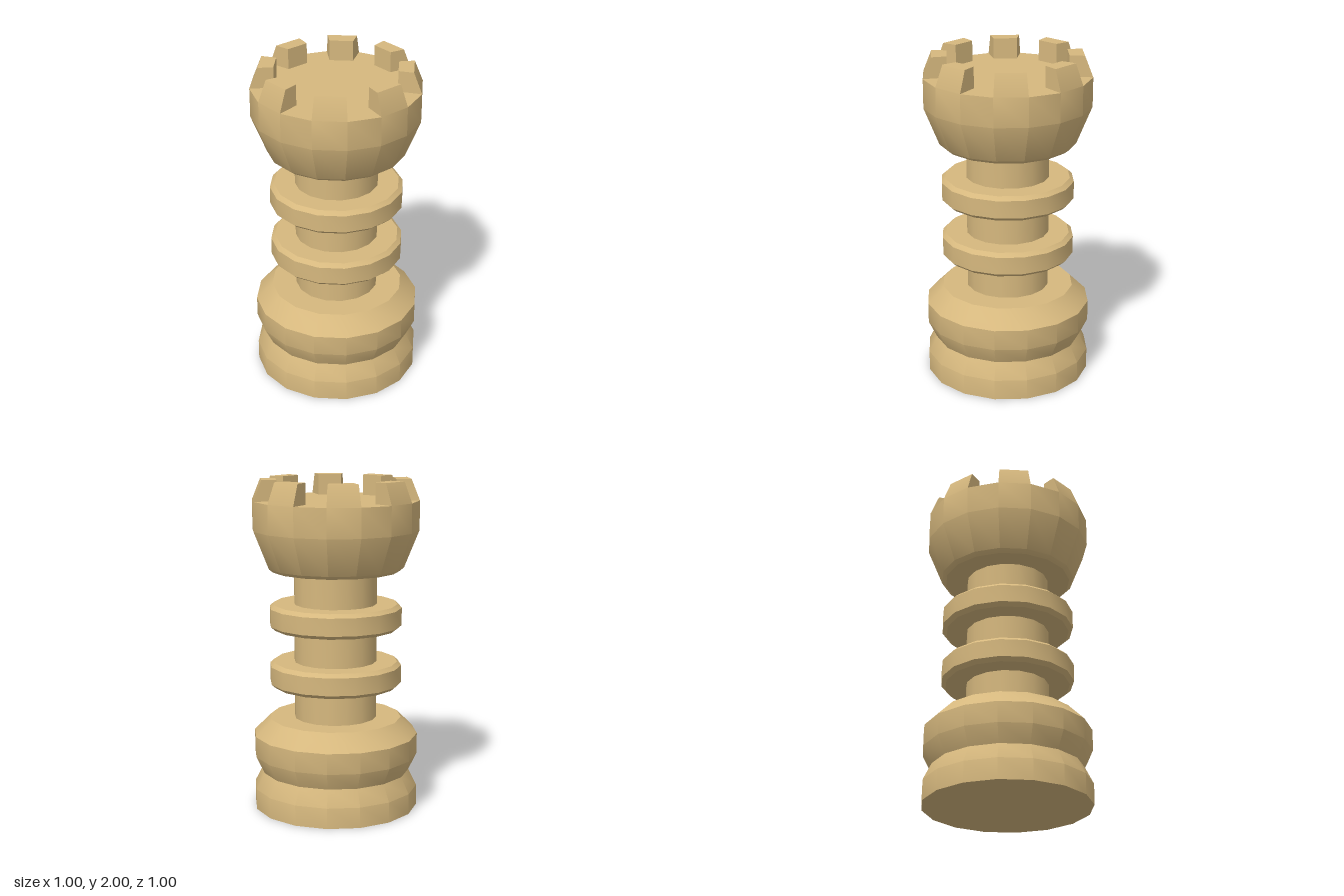
import * as THREE from 'three';
import { mergeGeometries, toCreasedNormals } from 'three/addons/utils/BufferGeometryUtils.js';

const SIDES = 16;
const STEP = (Math.PI * 2) / SIDES;
const CREASE = THREE.MathUtils.degToRad(30);
const NECK_R = 0.25;
const DECK_Y = 1.875;

// Sixteen-sided turned shape from [radius, height] pairs, bottom to top
function turned(profile) {
  return new THREE.LatheGeometry(profile.map(([r, y]) => new THREE.Vector2(r, y)), SIDES);
}

// One battlement: a box bent into a sector, its outer face leaning inwards
function battlement(startAngle) {
  const geo = new THREE.BoxGeometry(1, 1, 1);
  const p = geo.attributes.position;
  for (let i = 0; i < p.count; i++) {
    const top = p.getY(i) > 0;
    const radius = p.getZ(i) < 0 ? 0.36 : top ? 0.45 : 0.5;
    const angle = startAngle + (p.getX(i) + 0.5) * STEP;
    p.setXYZ(i, Math.sin(angle) * radius, top ? 2 : DECK_Y, Math.cos(angle) * radius);
  }
  return geo;
}

export function createModel() {
  const group = new THREE.Group();
  const material = new THREE.MeshStandardMaterial({ color: 0xd6b87e });

  function add(name, geometry, y = 0) {
    const mesh = new THREE.Mesh(toCreasedNormals(geometry, CREASE), material);
    mesh.name = name;
    mesh.position.y = y;
    group.add(mesh);
  }

  // Foot with a waist and a bulging upper half
  add('base', turned([
    [0, 0], [0.5, 0], [0.5, 0.125], [0.45, 0.225],
    [0.5, 0.33], [0.5, 0.455], [0.4, 0.555], [0, 0.555],
  ]));

  // Straight column
  add('neck', turned([[NECK_R, 0.555], [NECK_R, 1.455]]));

  // Two bevelled collars
  const collar = [
    [NECK_R, 0], [0.375, 0], [0.4, 0.022], [0.4, 0.128], [0.375, 0.15], [NECK_R, 0.15],
  ];
  add('lowerCollar', turned(collar), 0.752);
  add('upperCollar', turned(collar), 1.104);

  // Head and its eight battlements, joined so the shading runs through
  const head = [turned([
    [0, 1.455], [0.385, 1.455], [0.41, 1.475], [0.5, 1.7], [0.5, DECK_Y], [0, DECK_Y],
  ])];
  for (let i = 0; i < SIDES / 2; i++) head.push(battlement((2 * i - 1) * STEP));
  add('crenellatedHead', mergeGeometries(head));

  return group;
}
